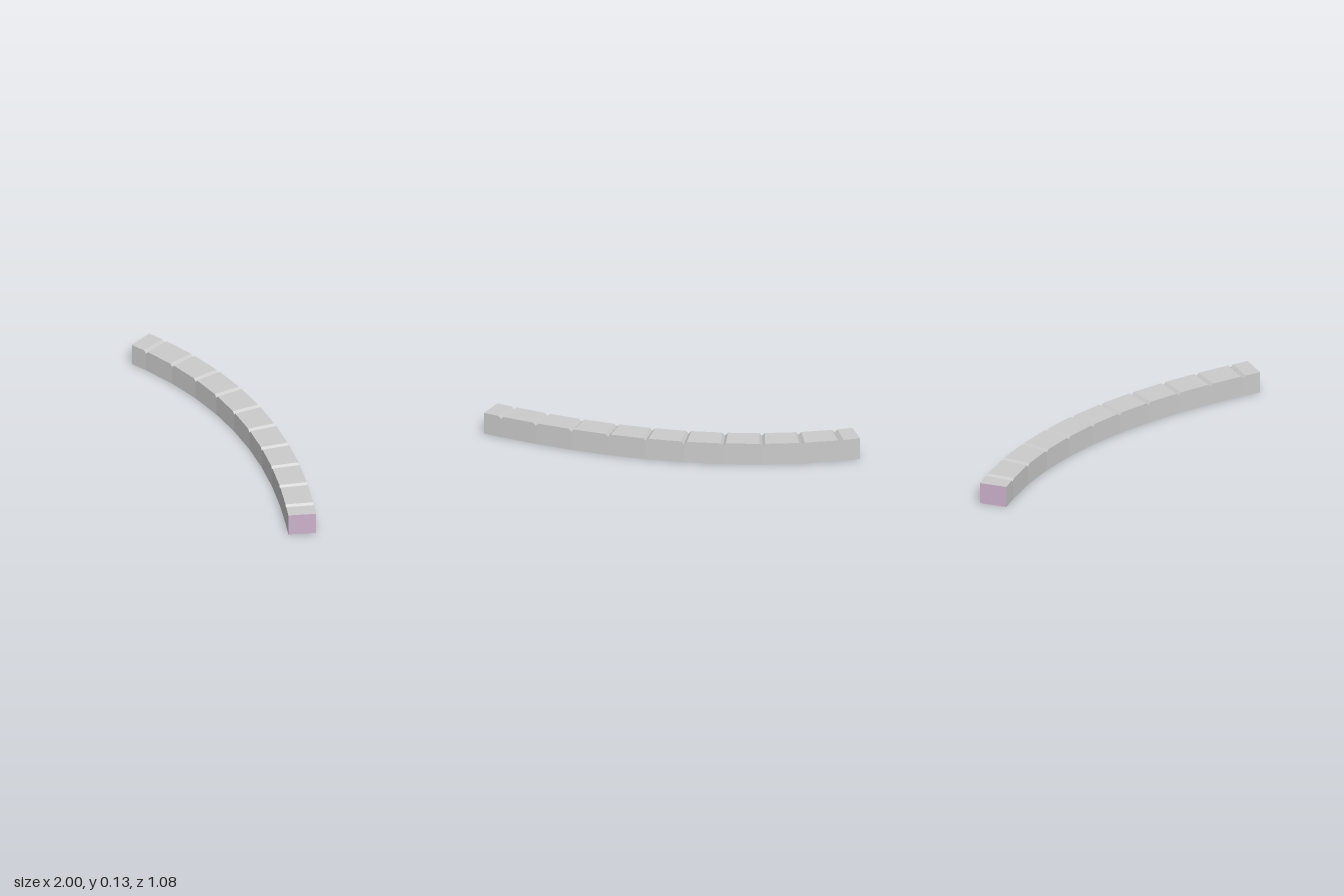
import * as THREE from 'three';

const HEIGHT = 0.13, HALF_WIDTH = 0.0815;
const GROOVES = 10, GROOVE_DEPTH = 0.016, GROOVE_HALF = 0.016;

// Flat-shaded mesh from a list of quads, each four counter-clockwise corners
function quadMesh(name, quads, color) {
  const points = quads.flatMap(([a, b, c, d]) => [a, b, c, a, c, d]);
  const geometry = new THREE.BufferGeometry().setFromPoints(points);
  geometry.computeVertexNormals();
  const mesh = new THREE.Mesh(geometry, new THREE.MeshStandardMaterial({ color, flatShading: true }));
  mesh.name = name;
  return mesh;
}

// Corners of a section: back bottom, back top, front top, front bottom
function section({ back, front }, top) {
  const at = (p, y) => new THREE.Vector3(p.x, y, p.z);
  return [at(back, 0), at(back, top), at(front, top), at(front, 0)];
}

// Point pair a short way from one joint towards another
function towards(from, to) {
  const step = (a, b) => a.clone().add(b.clone().sub(a).setLength(GROOVE_HALF));
  return { back: step(from.back, to.back), front: step(from.front, to.front) };
}

export function createModel() {
  const group = new THREE.Group();
  group.name = 'curvedKerb';

  // Centre line: straight along x at the start, turned 45 degrees at the end
  const path = new THREE.QuadraticBezierCurve3(
    new THREE.Vector3(-1, 0, -0.4585),
    new THREE.Vector3(0.005, 0, -0.4585),
    new THREE.Vector3(0.942, 0, 0.4825)
  );

  // Joints: both ends, and one at every groove, evenly spaced along the curve
  const stations = [0, ...Array.from({ length: GROOVES }, (_, i) => (i + 0.5) / GROOVES), 1];
  const joints = stations.map((u) => {
    const p = path.getPointAt(u), t = path.getTangentAt(u);
    const side = new THREE.Vector3(-t.z, 0, t.x).multiplyScalar(HALF_WIDTH);
    return { back: p.clone().sub(side), front: p.clone().add(side) };
  });

  // Cross-sections, with a V-shaped dip in the top at each inner joint
  const sections = joints.flatMap((joint, i) => {
    if (i === 0 || i === joints.length - 1) return [section(joint, HEIGHT)];
    return [
      section(towards(joint, joints[i - 1]), HEIGHT),
      section(joint, HEIGHT - GROOVE_DEPTH),
      section(towards(joint, joints[i + 1]), HEIGHT),
    ];
  });

  // Grooved body
  const quads = [];
  for (let i = 0; i < sections.length - 1; i++) {
    const a = sections[i], b = sections[i + 1];
    for (let k = 0; k < 4; k++) {
      const n = (k + 1) % 4;
      quads.push([a[k], a[n], b[n], b[k]]);
    }
  }
  group.add(quadMesh('body', quads, 0xcccccc));

  // Tinted end faces
  group.add(quadMesh('startFace', [[...sections[0]].reverse()], 0xccb2cc));
  group.add(quadMesh('endFace', [sections[sections.length - 1]], 0xccb2cc));
  return group;
}
